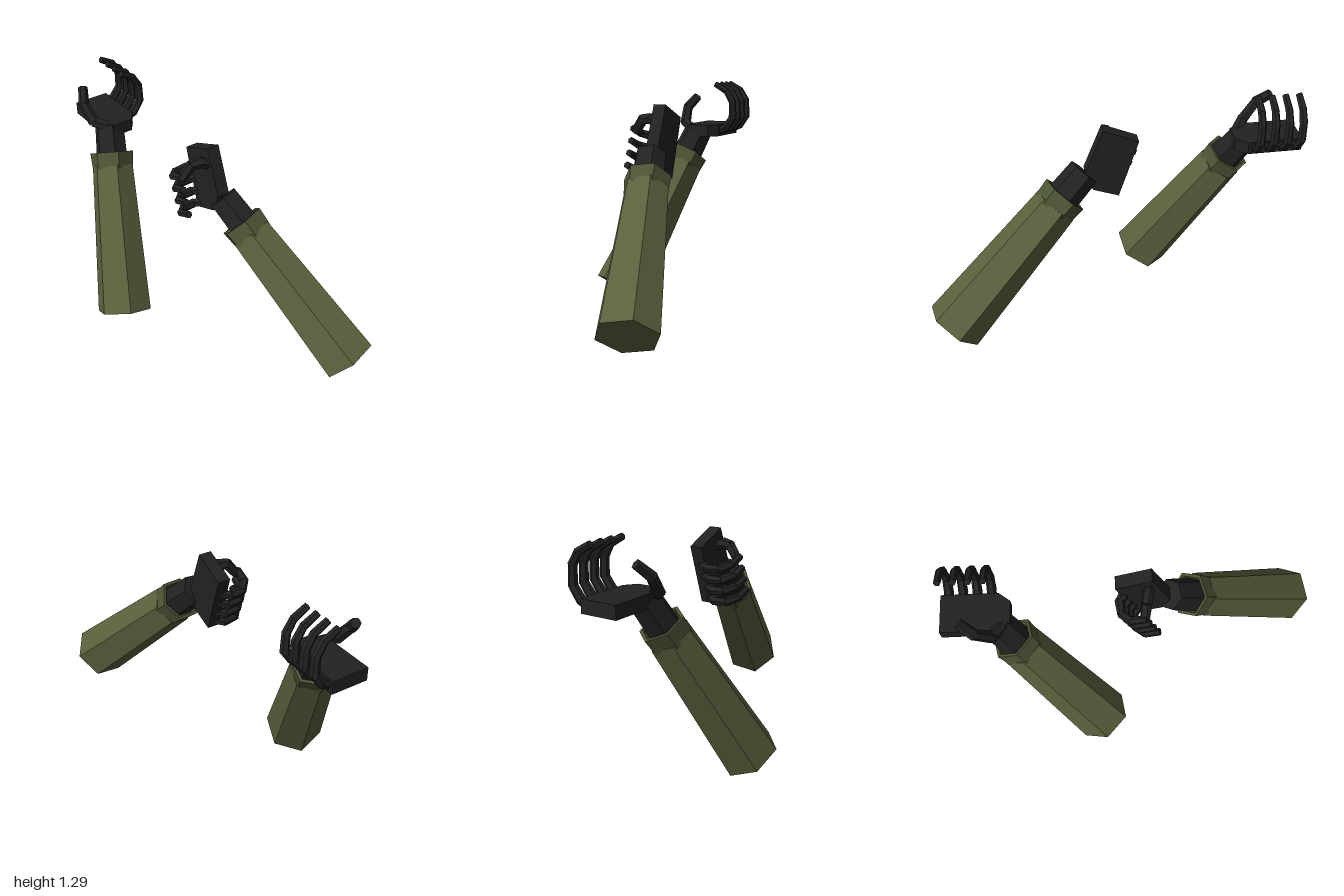
import * as THREE from 'three';

const material = (color) => new THREE.MeshStandardMaterial({ color, flatShading: true, side: THREE.DoubleSide });
const sleeveMat = material(0x59613d);
const cuffMat = material(0x4c5435);
const gloveMat = material(0x222222);
const V = (x, y, z) => new THREE.Vector3(x, y, z);

function part(name, geometry, mat) {
  const mesh = new THREE.Mesh(geometry, mat);
  mesh.name = name;
  return mesh;
}

// Six-sided turned part, with profile points as [radius, distance along the arm]
function hexTurned(name, profile, mat) {
  const points = profile.map(([r, y]) => new THREE.Vector2(r, y));
  return part(name, new THREE.LatheGeometry(points, 6), mat);
}

// Forearm along a direction, with one hexagon corner pointing to the given vector
function forearm(name, base, direction, corner) {
  const arm = new THREE.Group();
  arm.name = name;
  const y = direction.clone().normalize();
  const z = corner.clone().addScaledVector(y, -corner.dot(y)).normalize();
  const x = y.clone().cross(z);
  arm.quaternion.setFromRotationMatrix(new THREE.Matrix4().makeBasis(x, y, z));
  arm.position.copy(base);
  arm.add(hexTurned('sleeve', [[0, 0], [0.158, 0], [0.119, 0.84], [0.085, 0.84]], sleeveMat));
  const cuff = hexTurned('cuff', [[0.095, 0.82], [0.116, 0.82], [0.124, 0.915], [0.106, 0.915], [0.088, 0.86]], cuffMat);
  cuff.rotation.y = 0.1;
  arm.add(cuff);
  arm.add(hexTurned('wrist', [[0, 0.84], [0.092, 0.84], [0.084, 1.07], [0, 1.07]], gloveMat));
  return arm;
}

// Chain of tapered six-sided links through the joints
function digit(name, joints, radius) {
  const group = new THREE.Group();
  group.name = name;
  for (let i = 0; i < joints.length - 1; i++) {
    const a = joints[i], b = joints[i + 1];
    const dir = b.clone().sub(a);
    const r = radius * (1 - i * 0.06);
    const link = part('fingerLink', new THREE.CylinderGeometry(r * 0.88, r, dir.length() + 0.012, 6), gloveMat);
    link.position.copy(a).lerp(b, 0.5);
    link.quaternion.setFromUnitVectors(V(0, 1, 0), dir.normalize());
    group.add(link);
  }
  return group;
}

// Flat palm slab cut from an outline
function palmSlab(outline) {
  const shape = new THREE.Shape(outline.map(([a, b]) => new THREE.Vector2(a, b)));
  return new THREE.ExtrudeGeometry(shape, { depth: 0.07, bevelEnabled: false });
}

function openHand() {
  const hand = new THREE.Group();
  hand.name = 'openHand';
  // Palm facing up
  const palm = palmSlab([[-0.13, -1], [0.07, -1], [0.07, -0.71], [0.025, -0.65], [-0.09, -0.65], [-0.13, -0.71]]);
  palm.rotateX(Math.PI / 2).translate(0, 1.035, 0);
  hand.add(part('palm', palm, gloveMat));
  // Fingers rising beside the palm and curling over it
  const curl = [[0.05, 0.995], [0.10, 1.015], [0.145, 1.077], [0.142, 1.173], [0.105, 1.235], [0.036, 1.274]];
  for (let i = 0; i < 4; i++) {
    const z = -0.747 - i * 0.072;
    hand.add(digit('finger', curl.map(([x, y]) => V(x, y, z)), 0.027));
  }
  hand.add(digit('thumb', [V(-0.08, 1.0, -0.68), V(-0.165, 1.04, -0.74), V(-0.182, 1.13, -0.81), V(-0.148, 1.19, -0.87)], 0.034));
  return hand;
}

function grippingHand() {
  const hand = new THREE.Group();
  hand.name = 'grippingHand';
  // Palm facing inwards, outline as [z, y]
  const palm = palmSlab([[0.06, 1.193], [-0.122, 1.115], [-0.108, 1.07], [-0.02, 0.795], [0.115, 0.845], [0.155, 0.95]]);
  palm.rotateY(-Math.PI / 2).translate(0.1, 0, 0);
  hand.add(part('palm', palm, gloveMat));
  // Fingers wrapped back round a grip: [x, reach past the palm edge]
  const curl = [[0.06, -0.025], [0.01, 0.012], [-0.06, 0.004], [-0.108, -0.05], [-0.112, -0.125]];
  for (let i = 0; i < 4; i++) {
    const y = 1.01 - i * 0.064, z = -0.092 + i * 0.023;
    hand.add(digit('finger', curl.map(([x, v]) => V(x, y - 0.38 * v, z - 0.92 * v)), 0.027));
  }
  hand.add(digit('thumb', [V(0.06, 1.09, 0.05), V(0.0, 1.115, 0.04), V(-0.05, 1.11, 0.03), V(-0.1, 1.045, 0.02)], 0.033));
  return hand;
}

export function createModel() {
  const model = new THREE.Group();
  model.name = 'pairOfArms';
  model.add(forearm('rightForearm', V(-0.343, 0.088, -0.23), V(0.252, 0.847, -0.469), V(-0.147, 0.057, 0.02)));
  model.add(openHand());
  model.add(forearm('leftForearm', V(0.335, 0.215, 0.895), V(-0.255, 0.676, -0.691), V(0.155, 0.035, -0.035)));
  model.add(grippingHand());
  return model;
}
